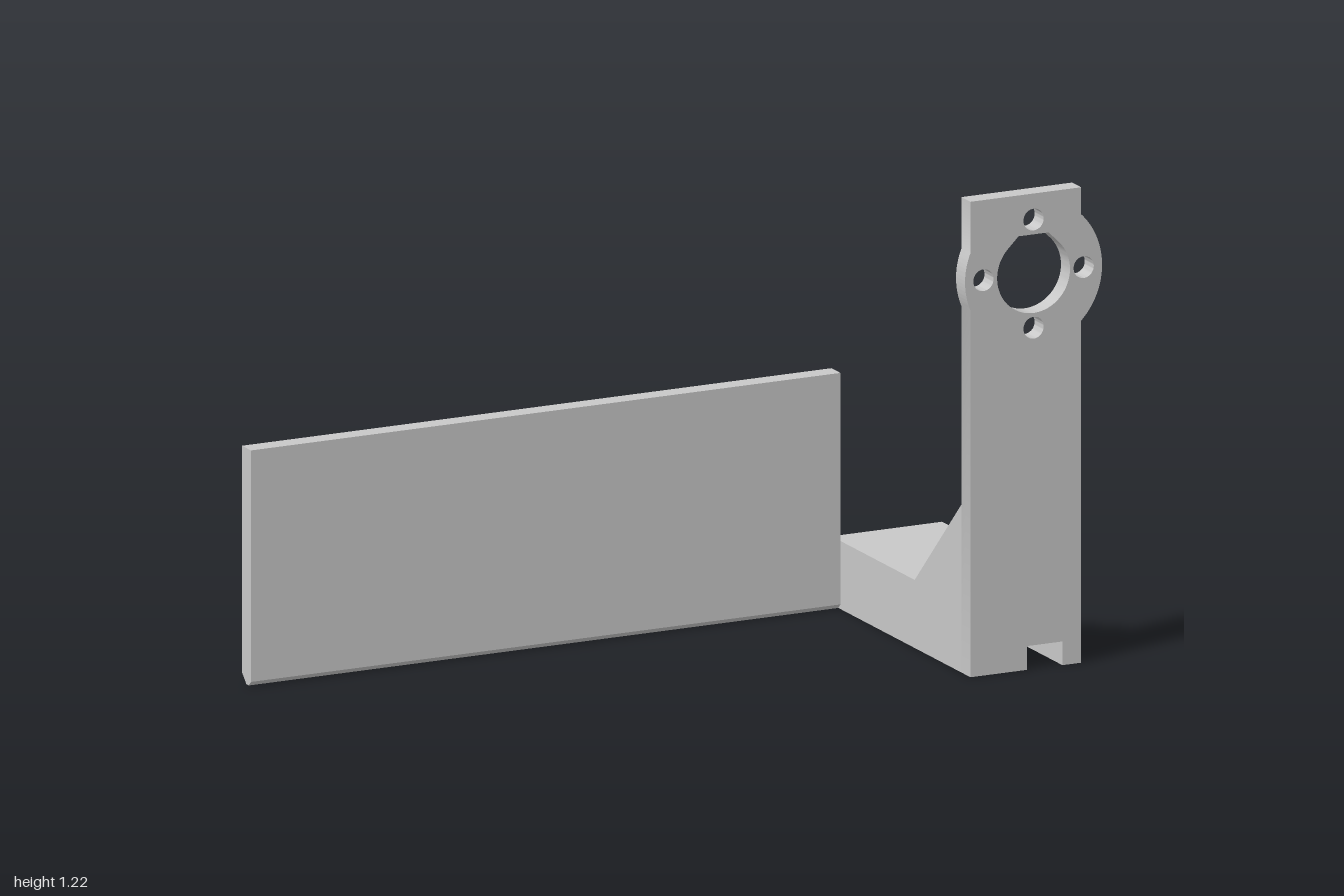
import * as THREE from 'three';
import { toCreasedNormals } from 'three/addons/utils/BufferGeometryUtils.js';

// Main planes of the bracket
const X0 = 0.635, X1 = 0.942;       // bracket sides
const XI0 = 0.685, XI1 = 0.89;      // inner faces of the side walls
const XG = 0.792;                   // groove edge
const ZF = 0.385, ZI = 0.335;       // outer and inner faces of front and back walls
const BASE = 0.175, CEILING = 0.125, GROOVE = 0.061, CHAMFER = 0.025;

export function createModel() {
  const model = new THREE.Group();
  model.name = 'bracket';
  const grey = new THREE.MeshStandardMaterial({ color: 0xc8c8c8 });
  grey.name = 'light grey plastic';

  function add(name, geometry) {
    const mesh = new THREE.Mesh(geometry, grey);
    mesh.name = name;
    model.add(mesh);
  }

  // Extrudes a [z, y] profile from xa to xb
  function addProfile(name, points, xa, xb) {
    const shape = new THREE.Shape(points.map(([z, y]) => new THREE.Vector2(z, y)));
    const geometry = new THREE.ExtrudeGeometry(shape, { depth: xb - xa, bevelEnabled: false });
    geometry.rotateY(-Math.PI / 2).translate(xb, 0, 0);
    add(name, geometry);
  }

  // Upright with round flange, groove at the foot and mounting holes
  const cx = 0.81, cy = 1.016, R = 0.19, top = 1.222;
  const aR = Math.acos((X1 - cx) / R);
  const aL = Math.acos((X0 - cx) / R);
  const face = new THREE.Shape();
  face.moveTo(X0, 0);
  face.lineTo(XG, 0);
  face.lineTo(XG, GROOVE);
  face.lineTo(XI1, GROOVE);
  face.lineTo(XI1, 0);
  face.lineTo(X1, 0);
  face.absarc(cx, cy, R, -aR, aR, false);
  face.lineTo(X1, top);
  face.lineTo(X0, top);
  face.absarc(cx, cy, R, aL, 2 * Math.PI - aL, false);
  face.closePath();

  // Centre bore with a flat, chamfered roof
  const r = 0.101, flat = r * (Math.SQRT2 - 1);
  const bore = new THREE.Path();
  bore.absarc(cx, cy, r, Math.PI * 0.75, Math.PI * 2.25, false);
  bore.lineTo(cx + flat, cy + r);
  bore.lineTo(cx - flat, cy + r);
  bore.closePath();
  face.holes.push(bore);

  // Four screw holes
  for (let i = 0; i < 4; i++) {
    const a = i * Math.PI / 2;
    const hole = new THREE.Path();
    hole.absarc(cx + 0.139 * Math.cos(a), cy + 0.139 * Math.sin(a), 0.028, 0, Math.PI * 2, false);
    face.holes.push(hole);
  }
  const upright = new THREE.ExtrudeGeometry(face, { depth: ZF - ZI, bevelEnabled: false, curveSegments: 32 });
  upright.translate(0, 0, ZI);
  add('upright', toCreasedNormals(upright, 0.5));

  // Side walls of the foot, each rising into a gusset
  const side = [
    [ZI, 0], [ZI, 0.432], [0.076, BASE], [-ZF, BASE], [-ZF, CHAMFER], [-ZF + CHAMFER, 0],
  ];
  addProfile('rightFootWall', side, X0, XI0);
  addProfile('leftFootWall', side, XI1, X1);

  // Top of the foot, over the open pocket
  addProfile('footTop', [[ZI, CEILING], [ZI, BASE], [-ZF, BASE], [-ZF, CEILING]], XI0, XI1);

  // Back wall of the foot, with the groove passing under it
  addProfile('footBackWall',
    [[-ZI, 0], [-ZI, CEILING], [-ZF, CEILING], [-ZF, CHAMFER], [-ZF + CHAMFER, 0]], XI0, XG);
  addProfile('footBackLintel',
    [[-ZI, GROOVE], [-ZI, CEILING], [-ZF, CEILING], [-ZF, GROOVE]], XG, XI1);

  // Long back plate with chamfered lower edges
  addProfile('backPlate',
    [[-ZI, 0.012], [-ZI, 0.607], [-ZF, 0.607], [-ZF, CHAMFER], [-ZF + CHAMFER, 0], [-ZI - 0.012, 0]], -1, X0);

  return model;
}
